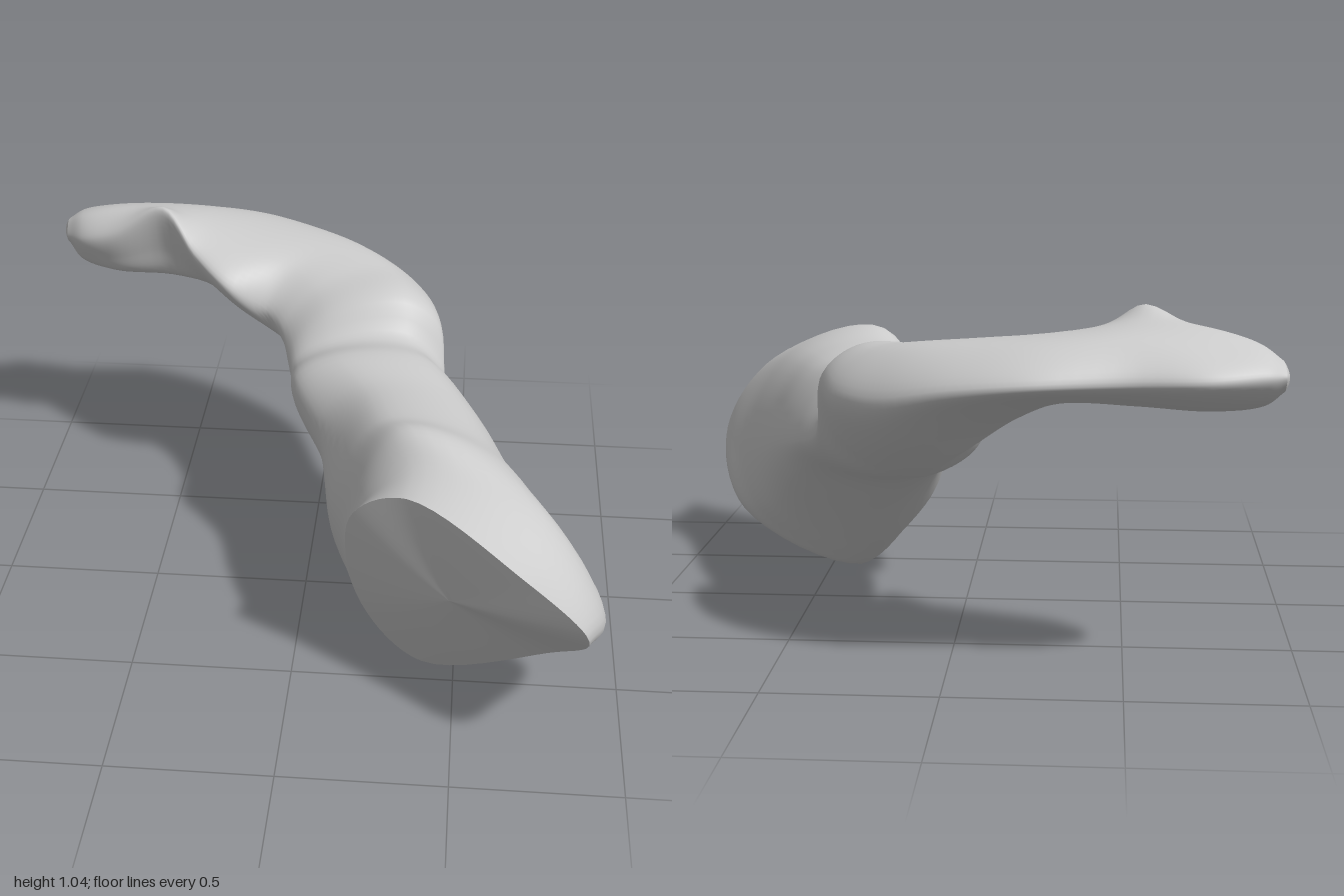
import * as THREE from 'three';

// Each section: left edge xyz, right edge xyz, top heights (left, right), underside ridge xyz
const hookSections = [
  [-.915, .87, -.79, -.92, .88, -.92, .91, .90, -.92, .83, -.85],
  [-.85, .89, -.73, -.87, .88, -.955, .95, .93, -.87, .785, -.80],
  [-.73, .93, -.69, -.72, .87, -1.0, .99, .94, -.74, .765, -.75],
  [-.55, 1.04, -.66, -.50, .86, -.975, 1.01, .96, -.53, .775, -.71],
  [-.43, .93, -.55, -.22, .85, -1.0, .97, .95, -.35, .77, -.63],
  [-.31, .86, -.45, -.01, .82, -.93, .93, .94, -.19, .70, -.58],
  [-.18, .78, -.46, .20, .77, -.79, .90, .92, .02, .57, -.54],
  [-.12, .73, -.40, .34, .77, -.63, .87, .90, .12, .50, -.45],
];
const shaftSections = [
  [-.09, .69, -.33, .41, .78, -.40, .83, .88, .15, .47, -.35],
  [-.07, .67, -.25, .44, .60, -.30, .76, .77, .18, .45, -.25],
  [-.05, .69, -.12, .53, .54, -.14, .785, .77, .22, .41, -.12],
  [.05, .60, .05, .63, .49, .08, .77, .75, .30, .30, .03],
  [.10, .50, .28, .72, .43, .31, .79, .74, .34, .13, .23],
  [.15, .50, .40, .82, .40, .50, .83, .73, .37, .05, .33],
  [.17, .54, .48, .92, .43, .70, .77, .69, .39, .01, .39],
  [.175, .59, .53, .85, .54, .985, .735, .63, .40, 0, .41],
];

const AROUND = 56, ALONG = 90;

// Smooth closed outline through one section; inX and inZ draw the flanks toward the ridge
function sectionLoop([lx, ly, lz, rx, ry, rz, tl, tr, bx, by, bz], inX, inZ) {
  const { lerp } = THREE.MathUtils;
  const L = new THREE.Vector3(lx, ly, lz), R = new THREE.Vector3(rx, ry, rz);
  const B = new THREE.Vector3(bx, by, bz);
  const top = (f, y) => L.clone().lerp(R, f).setY(y);
  const flank = (side) => new THREE.Vector3(
    lerp(side.x, bx, inX), lerp(side.y, by, .6), lerp(side.z, bz, inZ));
  const curve = new THREE.CatmullRomCurve3(
    [L, top(.25, tl), top(.75, tr), R, flank(R), B, flank(L)], true);
  return Array.from({ length: AROUND }, (_, j) => curve.getPoint(j / AROUND));
}

// Skin a list of equal loops; flip when the loops run against the shaft direction
function skin(loops, flip) {
  const index = [];
  for (let i = 0; i < loops.length - 1; i++) {
    for (let j = 0; j < AROUND; j++) {
      const k = (j + 1) % AROUND;
      const a = i * AROUND + j, b = i * AROUND + k, c = a + AROUND, d = b + AROUND;
      if (flip) index.push(a, b, c, b, d, c);
      else index.push(a, c, b, b, c, d);
    }
  }
  const geometry = new THREE.BufferGeometry().setFromPoints(loops.flat());
  geometry.setIndex(index);
  geometry.computeVertexNormals();
  return geometry;
}

// Close a loop with rings that shrink along a dome of the given height vector
function capLoops(loop, dome) {
  const rings = 10;
  const mid = loop.reduce((s, p) => s.add(p), new THREE.Vector3()).divideScalar(loop.length);
  return Array.from({ length: rings + 1 }, (_, i) => {
    const angle = i / rings * Math.PI / 2;
    return loop.map(p => mid.clone().lerp(p, Math.cos(angle)).addScaledVector(dome, Math.sin(angle) ** 2));
  });
}

export function createModel() {
  const group = new THREE.Group();
  group.name = 'bone';
  const material = new THREE.MeshStandardMaterial({ color: 0xcccccc });
  const add = (name, geometry) => {
    const mesh = new THREE.Mesh(geometry, material);
    mesh.name = name;
    group.add(mesh);
  };

  // Lengthwise curves through matching points of all sections
  const sections = [
    ...hookSections.map(s => sectionLoop(s, .3, .3)),
    ...shaftSections.map(s => sectionLoop(s, .17, .62)),
  ];
  const strands = Array.from({ length: AROUND }, (_, j) =>
    new THREE.CatmullRomCurve3(sections.map(loop => loop[j])));
  const loops = Array.from({ length: ALONG + 1 }, (_, i) =>
    strands.map(s => s.getPoint(i / ALONG)));
  add('boneShaft', skin(loops, false));

  // Rounded end of the hook
  add('hookTip', skin(capLoops(loops[0], new THREE.Vector3(-.014, 0, 0)), true));

  // Slanted, slightly domed face at the wide end
  add('jointFace', skin(capLoops(loops[ALONG], new THREE.Vector3(-.015, -.01, .02)), false));
  return group;
}
